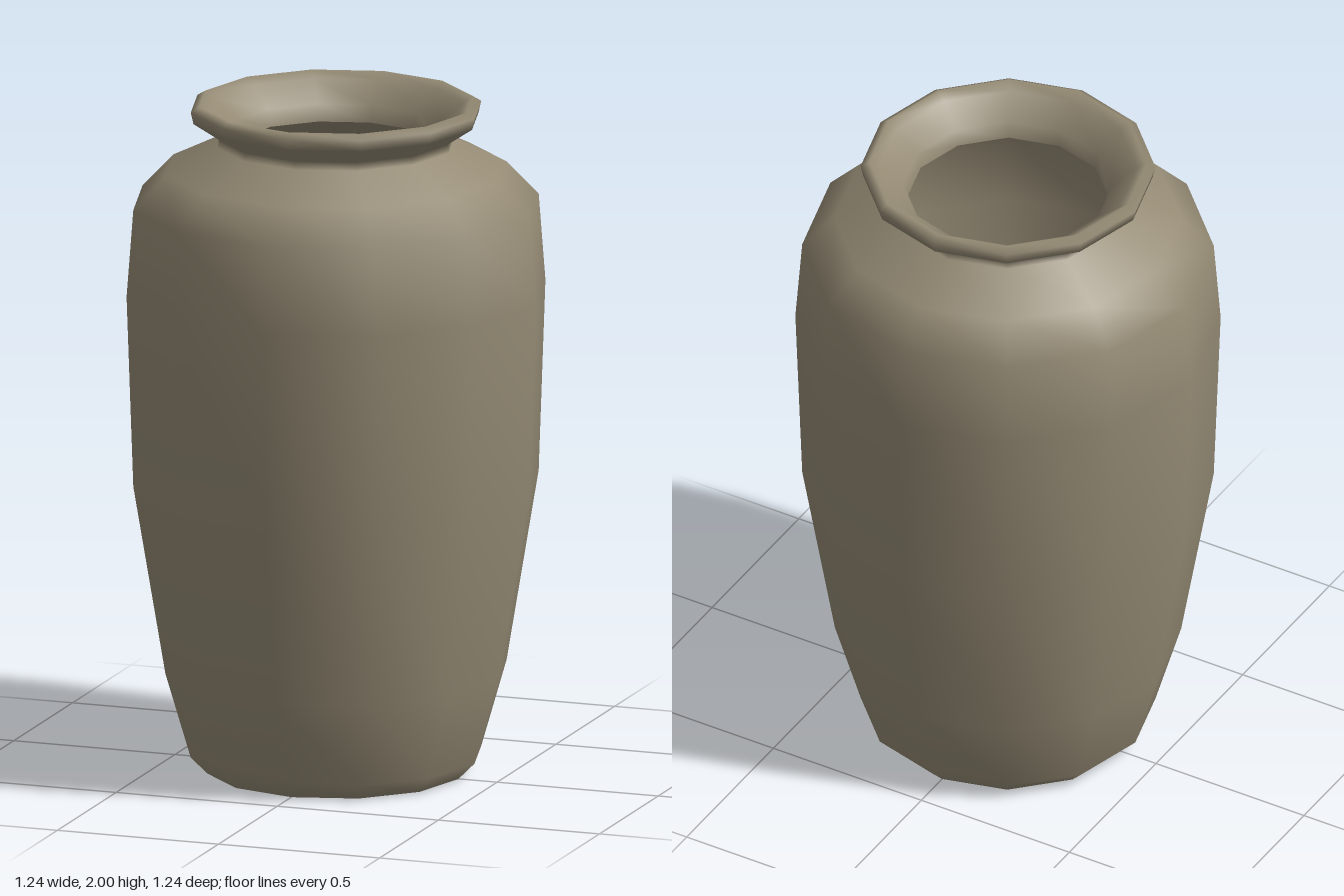
import * as THREE from 'three';

const SIDES = 12;

// Turn a profile of [radius, height] pairs around the vertical axis
function turned(name, profile, material) {
  const points = profile.map(([r, y]) => new THREE.Vector2(r, y));
  const mesh = new THREE.Mesh(new THREE.LatheGeometry(points, SIDES), material);
  mesh.name = name;
  return mesh;
}

export function createModel() {
  const model = new THREE.Group();
  model.name = 'vase';
  const clay = new THREE.MeshStandardMaterial({ color: 0x948a74 });
  clay.name = 'clay';

  // Outer wall, from the foot up to the flared rim, over the lip and into the neck
  model.add(turned('outerWall', [
    [0.38, 0], [0.43, 0.05], [0.505, 0.305], [0.6, 0.87], [0.62, 1.44],
    [0.6, 1.7], [0.505, 1.8], [0.35, 1.875], [0.347, 1.9],
    [0.422, 1.95], [0.43, 1.985], [0.405, 2], [0.375, 1.98],
    [0.305, 1.92], [0.295, 1.87],
  ], clay));

  // Hollow inside, from the neck down to the floor
  model.add(turned('innerWall', [
    [0.295, 1.87], [0.47, 1.76], [0.555, 1.67], [0.57, 1.44],
    [0.55, 0.87], [0.455, 0.31], [0.385, 0.06],
  ], clay));

  // Floor seen through the mouth, and the underside
  model.add(turned('floor', [[0.385, 0.06], [0, 0.06]], clay));
  model.add(turned('base', [[0, 0], [0.38, 0]], clay));

  return model;
}
